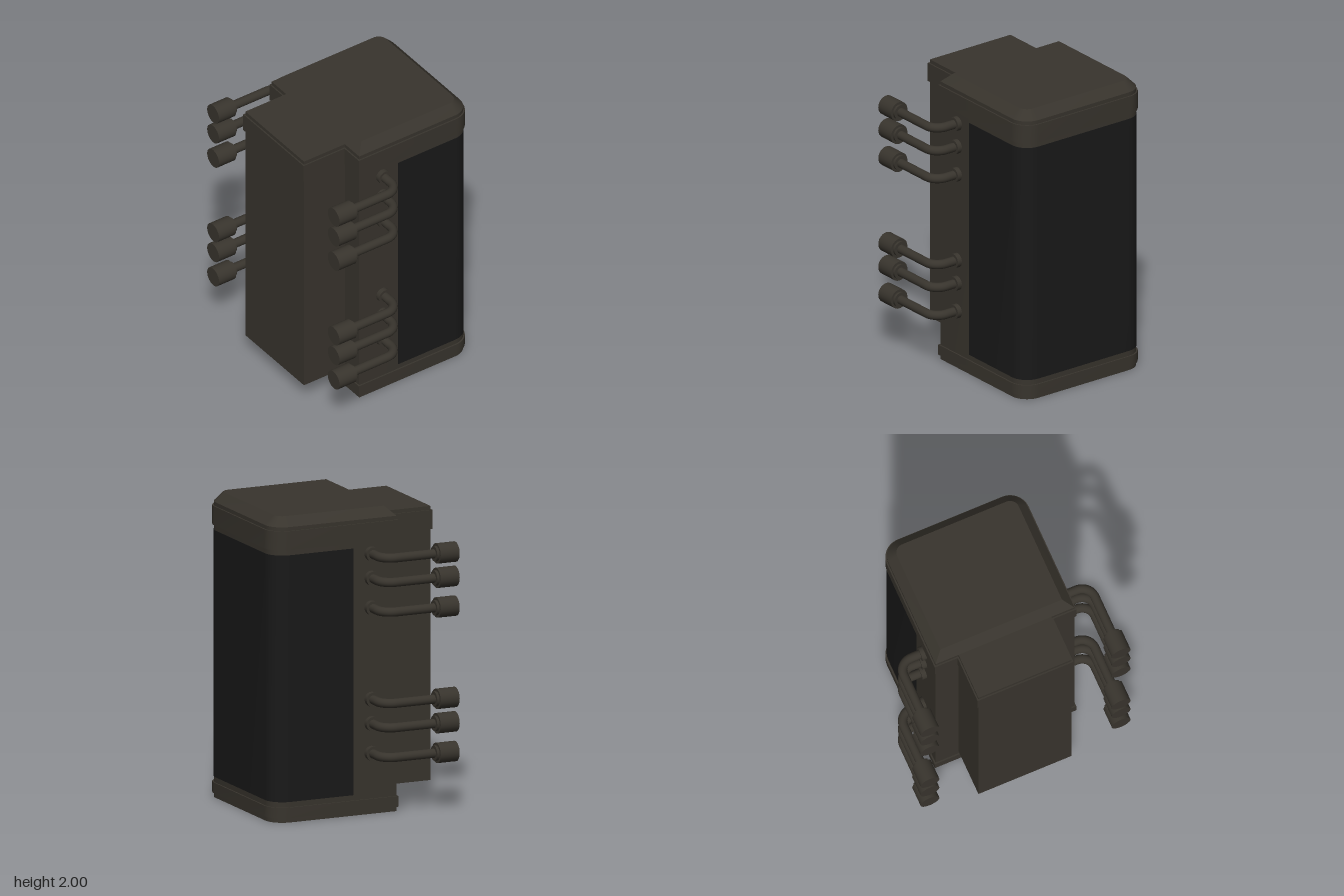
import * as THREE from 'three';
import { toCreasedNormals } from 'three/addons/utils/BufferGeometryUtils.js';

const bodyMat = new THREE.MeshStandardMaterial({ color: 0x38342d });
const panelMat = new THREE.MeshStandardMaterial({ color: 0x191919 });

// Plan outline with two rounded corners on the +x side, shrunk by inset
function outline(x0, x1, halfZ, r, inset) {
  const a = x0 + inset, b = x1 - inset, h = halfZ - inset;
  const rad = r > 0 ? r - inset : 0;
  const seg = r > 0 ? 10 : 0;
  const pts = [[a, -h]];
  for (const start of [-Math.PI / 2, 0]) {
    const cz = start < 0 ? -h + rad : h - rad;
    for (let i = 0; i <= seg; i++) {
      const t = start + (i / (seg || 1)) * Math.PI / 2;
      pts.push([b - rad + rad * Math.cos(t), cz + rad * Math.sin(t)]);
    }
  }
  pts.push([a, h]);
  return pts;
}

// Closed solid stacked from [y, inset] levels of one outline
function stack(name, material, [x0, x1, halfZ, r], levels) {
  const pos = [], index = [];
  const rings = levels.map(([y, inset]) =>
    outline(x0, x1, halfZ, r, inset).map(([x, z]) => [x, y, z]));
  const n = rings[0].length;
  rings.forEach(ring => ring.forEach(p => pos.push(...p)));
  for (let j = 0; j < rings.length - 1; j++) {
    for (let i = 0; i < n; i++) {
      const a = j * n + i, b = j * n + (i + 1) % n;
      index.push(a, a + n, b, b, a + n, b + n);
    }
  }
  const top = (rings.length - 1) * n;
  for (let i = 1; i < n - 1; i++) {
    index.push(0, i, i + 1);
    index.push(top, top + i + 1, top + i);
  }
  const geo = new THREE.BufferGeometry();
  geo.setAttribute('position', new THREE.Float32BufferAttribute(pos, 3));
  geo.setIndex(index);
  const mesh = new THREE.Mesh(toCreasedNormals(geo, 0.5), material);
  mesh.name = name;
  return mesh;
}

function cylinder(name, radius, length, x, z, axis) {
  const geo = new THREE.CylinderGeometry(radius, radius, length, 24);
  if (axis === 'x') geo.rotateZ(Math.PI / 2);
  else geo.rotateX(Math.PI / 2);
  const mesh = new THREE.Mesh(geo, bodyMat);
  mesh.name = name;
  mesh.position.set(x, 0, z);
  return mesh;
}

// Bent pipe leaving the side wall and turning back to a coupling
function pipe(side) {
  const g = new THREE.Group();
  const v = (x, z) => new THREE.Vector3(x, 0, z * side);
  const path = new THREE.CurvePath();
  path.add(new THREE.LineCurve3(v(-0.1, 0.47), v(-0.1, 0.575)));
  path.add(new THREE.CubicBezierCurve3(v(-0.1, 0.575), v(-0.1, 0.627), v(-0.138, 0.668), v(-0.19, 0.668)));
  path.add(new THREE.LineCurve3(v(-0.19, 0.668), v(-0.48, 0.668)));
  const tube = new THREE.Mesh(new THREE.TubeGeometry(path, 48, 0.03, 16), bodyMat);
  tube.name = 'pipeTube';
  g.add(
    tube,
    cylinder('wallFlange', 0.047, 0.04, -0.1, 0.497 * side, 'z'),
    cylinder('couplingCollar', 0.05, 0.03, -0.473, 0.668 * side, 'x'),
    cylinder('coupling', 0.066, 0.135, -0.5425, 0.668 * side, 'x'),
  );
  return g;
}

export function createModel() {
  const model = new THREE.Group();
  model.name = 'cabinetUnit';

  // Main cabinet with raised base band, raised top band and chamfered lid
  model.add(stack('cabinet', bodyMat, [-0.28, 0.595, 0.485, 0.12], [
    [0, 0], [0.03, 0], [0.03, -0.01], [0.1, -0.01], [0.1, 0],
    [1.79, 0], [1.79, -0.01], [1.915, -0.01], [1.915, 0], [1.94, 0], [2, 0.06],
  ]));

  // Dark wrap-around panel
  model.add(stack('darkPanel', panelMat, [0.025, 0.597, 0.487, 0.122],
    [[0.135, 0], [1.755, 0]]));

  // Rear housing with its own top band
  model.add(stack('rearHousing', bodyMat, [-0.6, -0.27, 0.325, 0], [
    [0.14, 0], [1.79, 0], [1.79, -0.01], [1.915, -0.01], [1.915, 0], [1.94, 0],
  ]));

  // Two clusters of three pipes on each side
  for (const side of [1, -1]) {
    for (const y of [0.4, 0.595, 0.755, 1.355, 1.55, 1.71]) {
      const p = pipe(side);
      p.name = side > 0 ? 'frontPipe' : 'backPipe';
      p.position.y = y;
      model.add(p);
    }
  }
  return model;
}
